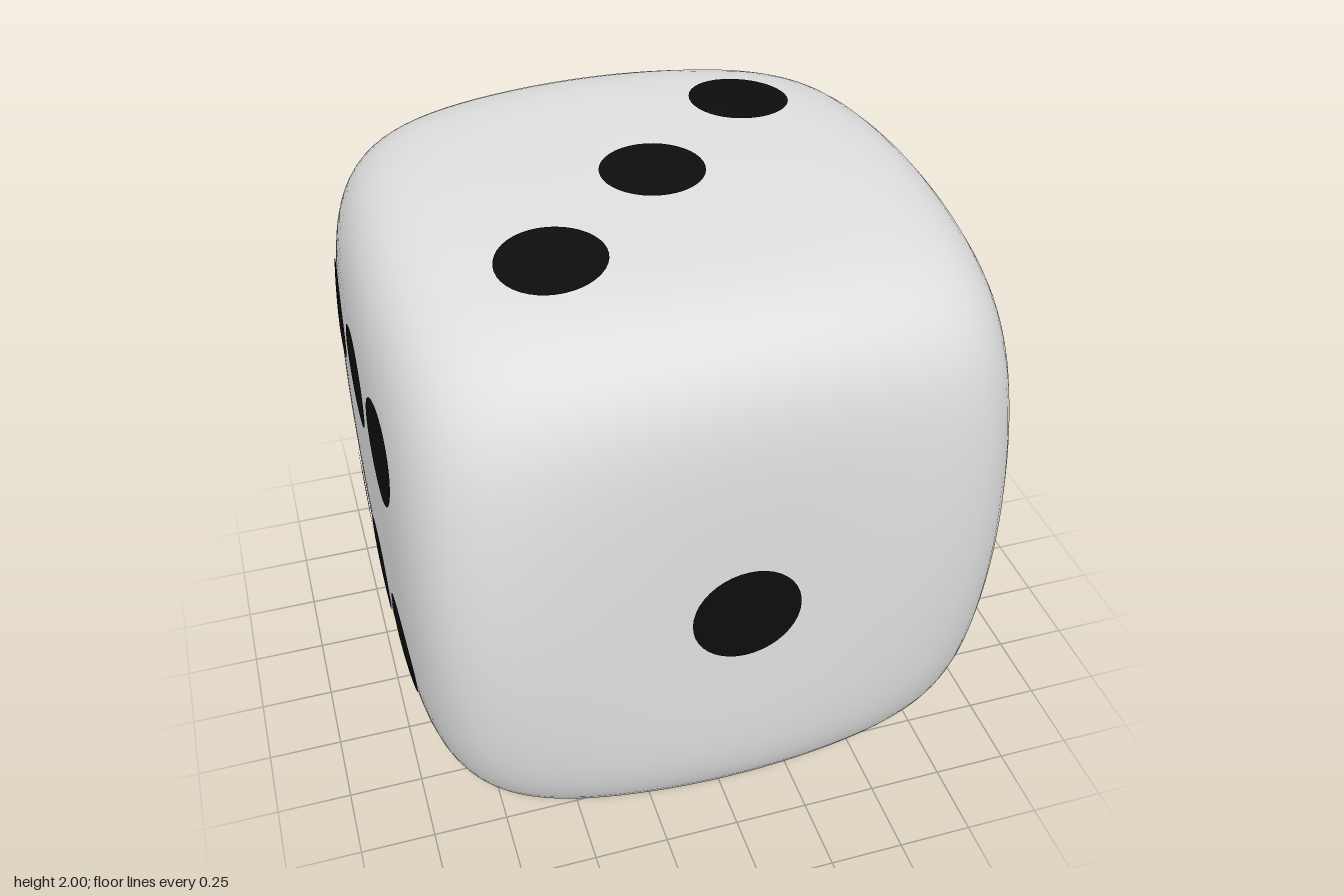
import * as THREE from 'three';

const CORNER = 1.2; // how strongly the eight corners are cut back
const BODY = 0.995; // body half-size, leaving room for the pips
const LIFT = 0.005;

// Rounded cube surface: x^6 + y^6 + z^6 + CORNER (xyz)^2 = 1
const field = (x, y, z) => x ** 6 + y ** 6 + z ** 6 + CORNER * (x * y * z) ** 2;
const slope = (a, b, c) => 6 * a ** 5 + 2 * CORNER * a * (b * c) ** 2;
const normalAt = (x, y, z) =>
  new THREE.Vector3(slope(x, y, z), slope(y, x, z), slope(z, x, y)).normalize();

// Move every vertex onto the surface and give it the exact smooth normal
function shapeOnto(geometry, project, lift) {
  const pos = geometry.attributes.position;
  const nor = geometry.attributes.normal;
  const p = new THREE.Vector3();
  for (let i = 0; i < pos.count; i++) {
    project(p.fromBufferAttribute(pos, i));
    const n = normalAt(p.x, p.y, p.z);
    p.multiplyScalar(BODY).addScaledVector(n, lift);
    pos.setXYZ(i, p.x, p.y, p.z);
    nor.setXYZ(i, n.x, n.y, n.z);
  }
  return geometry;
}

function bodyGeometry() {
  return shapeOnto(new THREE.BoxGeometry(2, 2, 2, 32, 32, 32),
    p => p.multiplyScalar(field(p.x, p.y, p.z) ** (-1 / 6)), 0);
}

// Round spot centred at (u, v) that follows the curve of the +z face
function pipGeometry(u, v, radius) {
  const disc = new THREE.RingGeometry(0, radius, 40, 5).translate(u, v, 0);
  return shapeOnto(disc, p => {
    p.z = 1;
    for (let i = 0; i < 8; i++) {
      p.z = (1 - p.x ** 6 - p.y ** 6 - CORNER * (p.x * p.y * p.z) ** 2) ** (1 / 6);
    }
  }, LIFT);
}

export function createModel() {
  const white = new THREE.MeshStandardMaterial({ color: 0xe0e0e0 });
  white.name = 'white';
  const black = new THREE.MeshStandardMaterial({ color: 0x0d0d0d });
  black.name = 'black';

  const model = new THREE.Group();
  model.name = 'die';
  const body = new THREE.Mesh(bodyGeometry(), white);
  body.name = 'body';
  body.position.y = 1;
  model.add(body);

  // Pip positions on each face, in that face's own right/up axes
  const q = 0.41, d = 0.43, h = Math.PI / 2;
  const four = [[-q, q], [q, q], [-q, -q], [q, -q]];
  const faces = [
    ['frontPips', [0, 0, 0], [[0, 0]], 0.176],
    ['leftPips', [0, h, 0], four, 0.172],
    ['topPips', [-h, 0, 0], [[-d, -q], [0, 0], [d, q]], 0.169],
    ['bottomPips', [h, 0, 0], [[d, -d], [-d, d]], 0.17],
    ['backPips', [0, 2 * h, 0], [...four, [0, 0]], 0.172],
    ['rightPips', [0, -h, 0], [...four, [0, q], [0, -q]], 0.17],
  ];
  for (const [name, rotation, spots, radius] of faces) {
    const face = new THREE.Group();
    face.name = name;
    face.position.y = 1;
    face.rotation.set(...rotation);
    for (const [u, v] of spots) {
      const pip = new THREE.Mesh(pipGeometry(u, v, radius), black);
      pip.name = 'pip';
      face.add(pip);
    }
    model.add(face);
  }
  return model;
}
